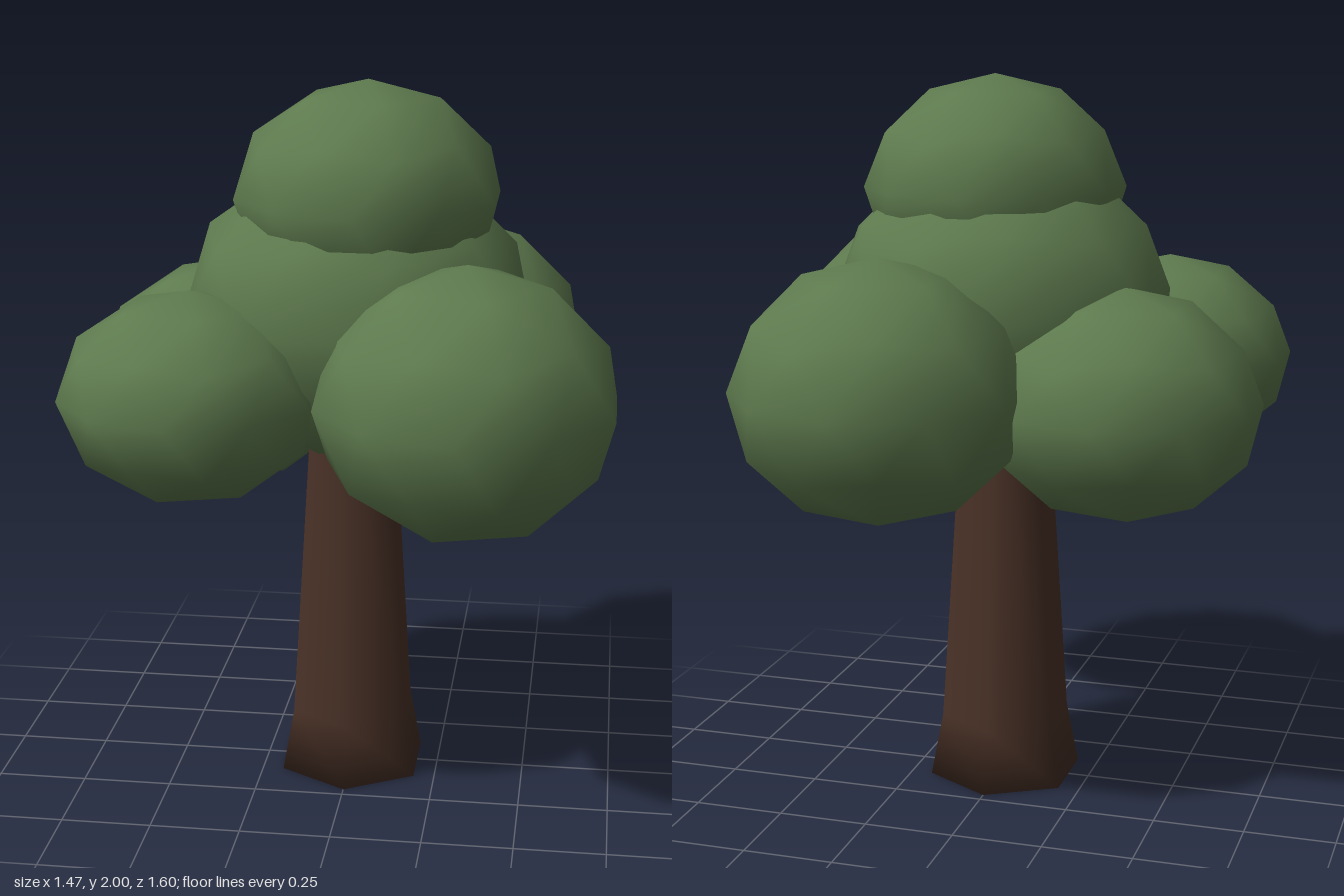
import * as THREE from 'three';

export function createModel() {
  const tree = new THREE.Group();
  tree.name = 'tree';
  const leafGreen = new THREE.MeshStandardMaterial({ name: 'leafGreen', color: 0x5e7a4e });
  const barkBrown = new THREE.MeshStandardMaterial({ name: 'barkBrown', color: 0x4a3227 });

  // Six-sided tapering trunk with a flared, closed foot
  const profile = [[0, 0], [0.22, 0], [0.185, 0.18], [0.125, 1.1]]
    .map(([r, y]) => new THREE.Vector2(r, y));
  const trunk = new THREE.Mesh(new THREE.LatheGeometry(profile, 6), barkBrown);
  trunk.name = 'trunk';
  tree.add(trunk);

  // Smooth-shaded low-poly ball with one vertex pointing straight up
  const ball = new THREE.IcosahedronGeometry(1, 1);
  ball.rotateZ(-Math.atan(2 / (1 + Math.sqrt(5))));

  // Foliage clumps: name, centre, radii
  const clumps = [
    ['crownMiddle', [0.02, 1.38, 0.045], [0.48, 0.42, 0.455]],
    ['crownTop', [0.05, 1.69, 0.07], [0.365, 0.31, 0.37]],
    ['frontLeftClump', [0.345, 1.215, 0.4], [0.405, 0.365, 0.395]],
    ['backLeftClump', [0.225, 1.19, -0.41], [0.405, 0.36, 0.39]],
    ['frontRightClump', [-0.39, 1.195, 0.35], [0.355, 0.285, 0.34]],
    ['backRightClump', [-0.37, 1.14, -0.15], [0.385, 0.32, 0.36]],
  ];
  for (const [name, centre, radii] of clumps) {
    const clump = new THREE.Mesh(ball, leafGreen);
    clump.name = name;
    clump.position.set(...centre);
    clump.scale.set(...radii);
    tree.add(clump);
  }
  return tree;
}
